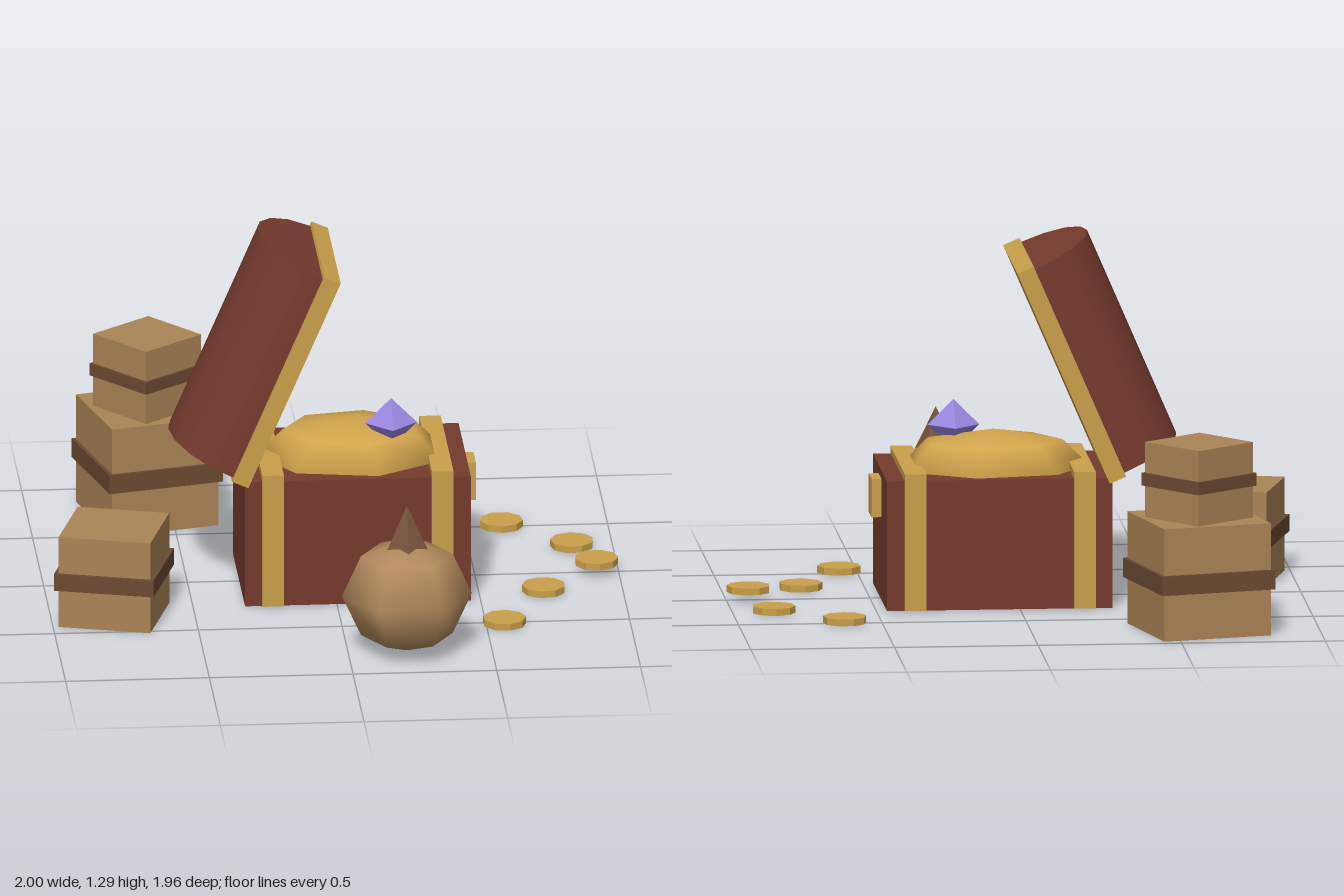
import * as THREE from 'three';

const mat = (color, flatShading = false) => new THREE.MeshStandardMaterial({ color, flatShading });
const RED = mat(0x753a2e), GOLD = mat(0xc9a04a), COIN = mat(0xc9a04a, true), PILE = mat(0xd2a54c);
const WOOD = mat(0xab8456), STRAP = mat(0x6b4a32), CLOTH = mat(0xb38a5c), KNOT = mat(0x76533a, true);
const GEM = mat(0x9c88e2, true);

function add(parent, name, geometry, material, x = 0, y = 0, z = 0) {
  const mesh = new THREE.Mesh(geometry, material);
  mesh.name = name;
  mesh.position.set(x, y, z);
  parent.add(mesh);
  return mesh;
}
const box = (w, h, d) => new THREE.BoxGeometry(w, h, d);

function subgroup(parent, name, x = 0, y = 0, z = 0) {
  const g = new THREE.Group();
  g.name = name;
  g.position.set(x, y, z);
  parent.add(g);
  return g;
}

// Crate with a strap running around it
function addCrate(parent, name, { x, y, z, turn, size, height, strapSize, strapY, strapHeight }) {
  const crate = subgroup(parent, name, x, y, z);
  crate.rotation.y = turn;
  add(crate, 'crateBody', box(size, height, size), WOOD, 0, height / 2, 0);
  add(crate, 'crateStrap', box(strapSize, strapHeight, strapSize), STRAP, 0, strapY, 0);
}

export function createModel() {
  const model = new THREE.Group();
  model.name = 'treasureHoard';

  // Chest base, opening towards +x
  const chest = subgroup(model, 'chest', 0.0725, 0, -0.005);
  add(chest, 'chestBody', box(0.785, 0.457, 0.56), RED, 0, 0.2315, 0);
  for (const x of [-0.296, 0.294]) add(chest, 'chestBand', box(0.075, 0.481, 0.585), GOLD, x, 0.2445, 0);
  add(chest, 'lockPlate', box(0.05, 0.135, 0.115), GOLD, 0.4025, 0.3625, 0);

  // Lid: gold rim plate with a half-barrel on its back, tilted open
  const lid = subgroup(model, 'lid', -0.206, 0.838, -0.005);
  lid.rotation.z = 1.163;
  add(lid, 'lidRim', box(0.81, 0.062, 0.585), GOLD, 0, -0.031, 0);
  const barrel = new THREE.CylinderGeometry(1, 1, 0.785, 8, 1, false, 0, Math.PI);
  barrel.rotateZ(Math.PI / 2).scale(1, 0.223, 0.28);
  add(lid, 'lidBarrel', barrel, RED);

  // Gold heap and gem
  const heap = new THREE.SphereGeometry(1, 7, 4);
  heap.scale(0.343, 0.138, 0.265);
  add(model, 'goldHeap', heap, PILE, 0.0725, 0.453, -0.005);
  add(model, 'gem', new THREE.OctahedronGeometry(0.09), GEM, 0.203, 0.594, 0.073);

  // Tied sack
  const sack = subgroup(model, 'sack', 0.204, 0, 0.78);
  const belly = new THREE.SphereGeometry(0.226, 6, 4);
  belly.scale(1, 0.907, 1);
  add(sack, 'sackBody', belly, CLOTH, 0, 0.21, 0);
  add(sack, 'sackNeck', new THREE.ConeGeometry(0.09, 0.185, 5), KNOT, 0, 0.443, 0);

  // Crates
  addCrate(model, 'smallCrate', { x: -0.78, y: 0, z: 0.32, turn: -0.28,
    size: 0.325, height: 0.33, strapSize: 0.353, strapY: 0.167, strapHeight: 0.06 });
  addCrate(model, 'largeCrate', { x: -0.584, y: 0, z: -0.727, turn: 0.25,
    size: 0.39, height: 0.395, strapSize: 0.415, strapY: 0.197, strapHeight: 0.068 });
  addCrate(model, 'topCrate', { x: -0.584, y: 0.395, z: -0.727, turn: 0.69,
    size: 0.265, height: 0.265, strapSize: 0.282, strapY: 0.134, strapHeight: 0.045 });

  // Scattered coins
  const coin = new THREE.CylinderGeometry(0.076, 0.076, 0.024, 9);
  const spots = [[0.63, 0.014, -0.5], [0.858, 0.014, -0.27], [0.923, 0.041, -0.005], [0.725, 0.014, 0.19], [0.563, 0.014, 0.52]];
  spots.forEach(([x, y, z], i) => {
    add(model, 'coin', coin, COIN, x, y, z).rotation.y = i * 0.4;
  });

  return model;
}
